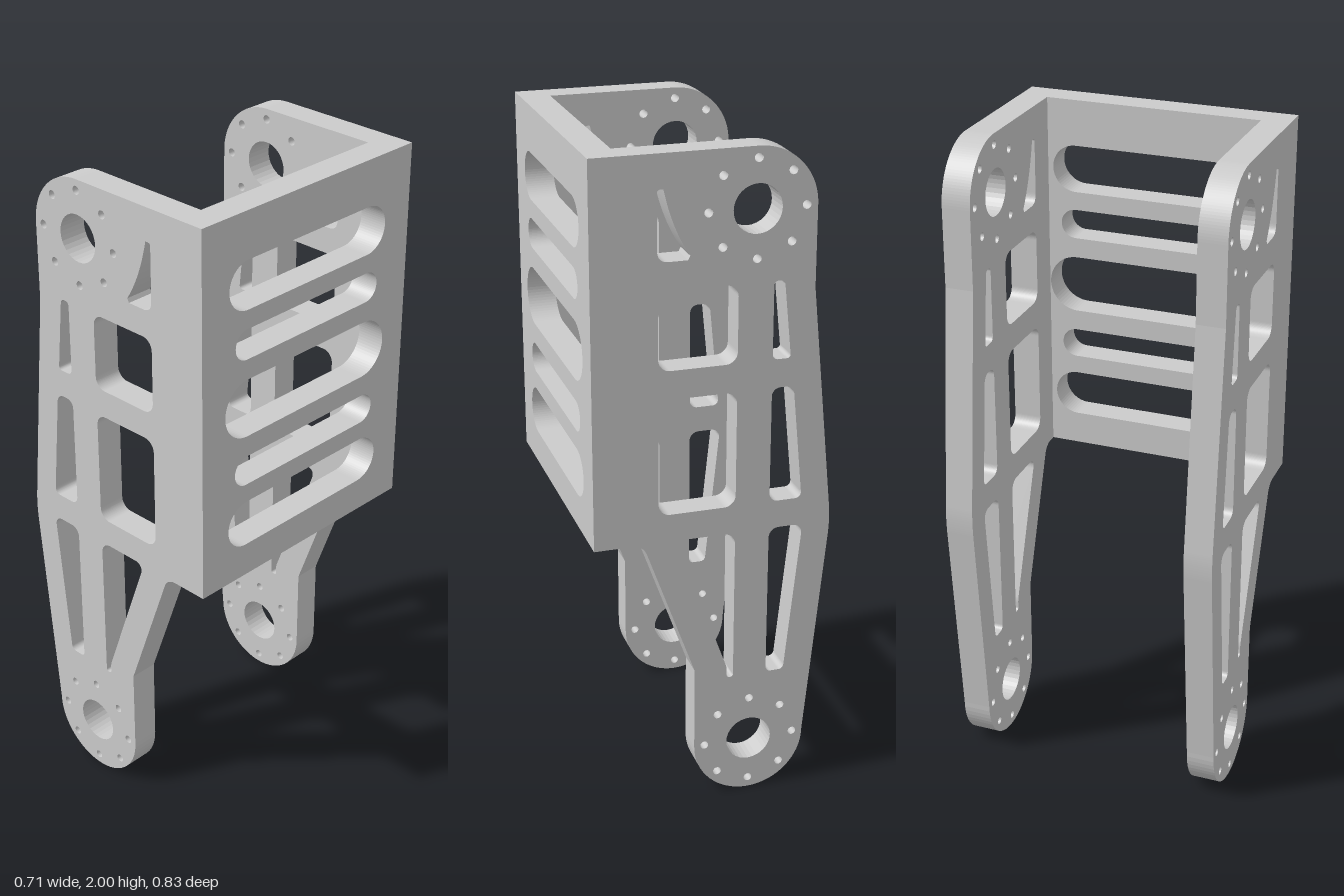
import * as THREE from 'three';

const CX = -0.117, R = 0.172;            // pivot axis and end radius
const TOP = 2 - R, BOTTOM = R;           // pivot heights
const INNER = 0.331, OUTER = 0.417;      // side plate z range
const BASE = 0.87, BACK = 0.355;         // lower edge and outer face of the web

// Closed path with rounded corners; each corner is [x, y, trim length]
function roundedPath(corners) {
  const path = new THREE.Path();
  const n = corners.length;
  const point = i => new THREE.Vector2(corners[(i + n) % n][0], corners[(i + n) % n][1]);
  const toward = (a, b, d) => a.clone().add(b.clone().sub(a).setLength(d));
  for (let i = 0; i < n; i++) {
    const p = point(i), r = corners[i][2] || 0;
    if (!r) {
      if (i === 0) path.moveTo(p.x, p.y); else path.lineTo(p.x, p.y);
      continue;
    }
    const a = toward(p, point(i - 1), r), b = toward(p, point(i + 1), r);
    const ca = a.clone().lerp(p, 0.55), cb = b.clone().lerp(p, 0.55);
    if (i === 0) path.moveTo(a.x, a.y); else path.lineTo(a.x, a.y);
    path.bezierCurveTo(ca.x, ca.y, cb.x, cb.y, b.x, b.y);
  }
  path.closePath();
  return path;
}

function boxPath(x0, x1, y0, y1, r) {
  return roundedPath([[x0, y0, r], [x1, y0, r], [x1, y1, r], [x0, y1, r]]);
}

function circlePath(x, y, r) {
  return new THREE.Path().absarc(x, y, r, 0, Math.PI * 2, false);
}

// Large bore with a ring of eight bolt holes
function pivotHoles(y) {
  const holes = [circlePath(CX, y, 0.07)];
  for (let i = 0; i < 8; i++) {
    const a = i * Math.PI / 4;
    holes.push(circlePath(CX + 0.14 * Math.cos(a), y + 0.14 * Math.sin(a), 0.0125));
  }
  return holes;
}

// Slot with semicircular ends, centred on x = 0
function slotPath(halfLength, y0, y1) {
  const r = (y1 - y0) / 2, y = (y0 + y1) / 2, c = halfLength - r;
  const path = new THREE.Path();
  path.absarc(c, y, r, -Math.PI / 2, Math.PI / 2, false);
  path.absarc(-c, y, r, Math.PI / 2, Math.PI * 1.5, false);
  path.closePath();
  return path;
}

function sidePlateShape() {
  const s = new THREE.Shape();
  s.moveTo(BACK, 2);
  s.lineTo(CX, 2);
  s.absarc(CX, TOP, R, Math.PI / 2, Math.PI, false);
  s.lineTo(CX - R, 1.59);
  s.lineTo(-0.353, 0.92);
  s.quadraticCurveTo(-0.357, 0.88, -0.353, 0.83);
  s.lineTo(CX - R, BOTTOM);
  s.absarc(CX, BOTTOM, R, Math.PI, Math.PI * 2, false);
  s.lineTo(CX + R, 0.435);
  s.lineTo(0.2, 0.84);
  s.quadraticCurveTo(0.212, BASE, 0.245, BASE);
  s.lineTo(BACK, BASE);
  s.closePath();

  // Curved triangular window beside the upper pivot
  const fin = new THREE.Path();
  fin.moveTo(0.08, 1.702);
  fin.lineTo(0.135, 1.702);
  fin.quadraticCurveTo(0.167, 1.702, 0.167, 1.735);
  fin.lineTo(0.167, 1.895);
  fin.quadraticCurveTo(0.166, 1.905, 0.149, 1.902);
  fin.quadraticCurveTo(0.125, 1.79, 0.074, 1.714);
  fin.closePath();

  s.holes.push(
    ...pivotHoles(TOP), ...pivotHoles(BOTTOM), fin,
    // broad windows
    boxPath(-0.065, 0.165, 1.39, 1.62, 0.035),
    boxPath(-0.065, 0.165, 0.955, 1.305, 0.035),
    // narrow windows along the front edge
    roundedPath([[-0.222, 1.39, 0.012], [-0.168, 1.39, 0.015], [-0.168, 1.62, 0.013], [-0.199, 1.62, 0.013]]),
    roundedPath([[-0.266, 0.955, 0.02], [-0.168, 0.955, 0.025], [-0.168, 1.305, 0.025], [-0.233, 1.305, 0.025]]),
    roundedPath([[-0.223, 0.395, 0.015], [-0.168, 0.395, 0.015], [-0.168, 0.87, 0.03], [-0.272, 0.87, 0.03]]),
    // tapered lower window
    roundedPath([[-0.065, 0.395, 0.008], [-0.045, 0.395, 0.008], [-0.045, 0.43, 0.01],
      [0.113, 0.87, 0.035], [-0.065, 0.87, 0.035]])
  );
  return s;
}

export function createModel() {
  const group = new THREE.Group();
  const material = new THREE.MeshStandardMaterial({ color: 0xcccccc });

  // Two matching side plates
  const plate = new THREE.ExtrudeGeometry(sidePlateShape(),
    { depth: OUTER - INNER, bevelEnabled: false, curveSegments: 16 });
  for (const [name, z] of [['frontSidePlate', INNER], ['rearSidePlate', -OUTER]]) {
    const mesh = new THREE.Mesh(plate, material);
    mesh.name = name;
    mesh.position.z = z;
    group.add(mesh);
  }

  // Slotted web joining the plates
  const web = new THREE.Shape([[-INNER, BASE], [INNER, BASE], [INNER, 2], [-INNER, 2]]
    .map(p => new THREE.Vector2(...p)));
  for (const slot of [[0.315, 1.715, 1.86], [0.29, 1.567, 1.658], [0.329, 1.328, 1.505],
    [0.29, 1.173, 1.264], [0.315, 0.973, 1.116]]) web.holes.push(slotPath(...slot));
  const webGeometry = new THREE.ExtrudeGeometry(web,
    { depth: 0.087, bevelEnabled: false, curveSegments: 16 });
  webGeometry.rotateY(Math.PI / 2);
  webGeometry.translate(BACK - 0.087, 0, 0);
  const webMesh = new THREE.Mesh(webGeometry, material);
  webMesh.name = 'slottedWeb';
  group.add(webMesh);

  return group;
}
